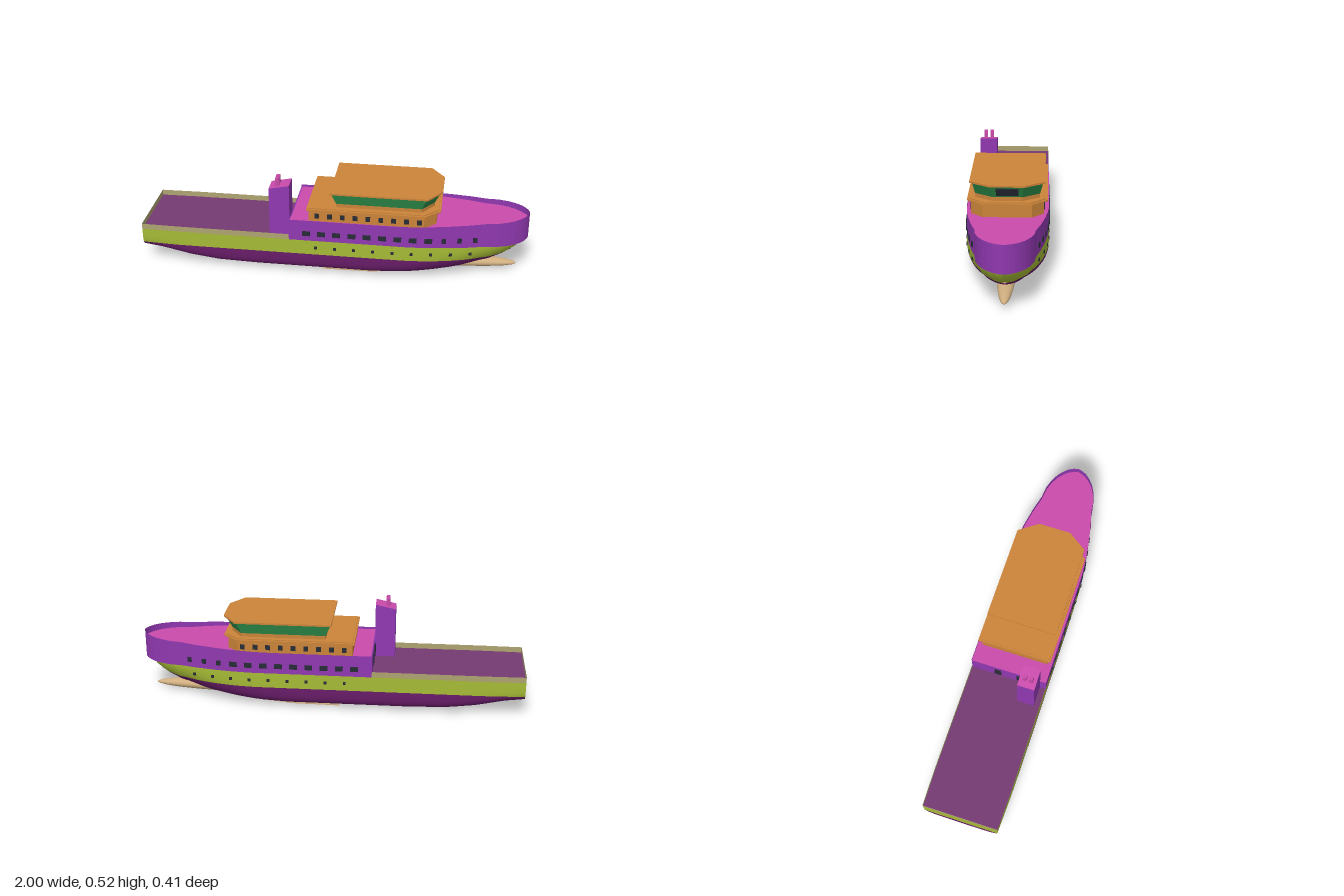
import * as THREE from 'three';

const mat = (name, color, side = THREE.DoubleSide) =>
  Object.assign(new THREE.MeshStandardMaterial({ color, side }), { name });

// piecewise-linear curve through [x, value] points
const curve = (pts) => (x) => {
  let i = 1;
  while (i < pts.length - 1 && x > pts[i][0]) i++;
  const [a, b] = [pts[i - 1], pts[i]];
  const t = Math.min(1, Math.max(0, (x - a[0]) / (b[0] - a[0])));
  return a[1] + (b[1] - a[1]) * t;
};

export function createModel() {
  const ship = new THREE.Group();
  ship.name = 'ship';
  const M = {
    purple: mat('upper hull purple', 0x9038b0),
    plum: mat('lower hull plum', 0x6a1d6a),
    lime: mat('hull lime', 0xa5ba35),
    khaki: mat('bulwark khaki', 0xaea371),
    tan: mat('bulb tan', 0xcfae80),
    pink: mat('deck pink', 0xc94bab),
    mauve: mat('aft deck mauve', 0x753b73),
    orange: mat('house orange', 0xcb843a),
    green: mat('bridge green', 0x2c8b49),
    dark: mat('window dark', 0x272c36),
  };

  const add = (name, geo, m, parent = ship) => {
    const mesh = new THREE.Mesh(geo, m);
    mesh.name = name;
    parent.add(mesh);
    return mesh;
  };

  // surface over an nu x nv grid, wound to face outwards on each side
  const grid = (name, m, nu, nv, side, fn) => {
    const pos = [], idx = [];
    for (let i = 0; i <= nu; i++)
      for (let j = 0; j <= nv; j++) {
        const [x, y, z] = fn(i / nu, j / nv);
        pos.push(x, y, z * side);
      }
    for (let i = 0; i < nu; i++)
      for (let j = 0; j < nv; j++) {
        const a = i * (nv + 1) + j, b = a + nv + 1;
        if (side > 0) idx.push(a, b, b + 1, a, b + 1, a + 1);
        else idx.push(a, b + 1, b, a, a + 1, b + 1);
      }
    const g = new THREE.BufferGeometry();
    g.setAttribute('position', new THREE.Float32BufferAttribute(pos, 3));
    g.setIndex(idx);
    g.computeVertexNormals();
    return add(name, g, m);
  };

  // horizontal slab from a half outline of [x, z], mirrored across the centreline
  const outlineShape = (half) => new THREE.Shape(
    [...half, ...half.slice().reverse().map(([x, z]) => [x, -z])].map(([x, z]) => new THREE.Vector2(x, z)));
  const slabGeo = (half, y0, y1) =>
    new THREE.ExtrudeGeometry(outlineShape(half), { depth: y1 - y0, bevelEnabled: false })
      .rotateX(-Math.PI / 2).translate(0, y0, 0);
  const sheet = (name, half, y, m) =>
    add(name, new THREE.ShapeGeometry(outlineShape(half)).rotateX(-Math.PI / 2).translate(0, y, 0), m);

  // hull lines: keel height, deck half-width and section fullness along the length
  const TOP = 0.2, BAND = 0.12, BREAK = -0.22, BOW = 0.98;
  const keel = curve([[-1, 0.085], [-0.9, 0.074], [-0.75, 0.043], [-0.6, 0.026], [-0.4, 0.02], [0.35, 0.02],
    [0.5, 0.025], [0.65, 0.039], [0.8, 0.07], [0.88, 0.103], [0.94, 0.145], [BOW, TOP]]);
  const beam = curve([[-1, 0.198], [-0.8, 0.202], [0.4, 0.202], [0.5, 0.195], [0.6, 0.18], [0.7, 0.16],
    [0.8, 0.132], [0.88, 0.09], [0.94, 0.048], [BOW, 0]]);
  const fullness = curve([[-1, 5], [-0.6, 7], [0.2, 7], [0.5, 3.6], [0.75, 2], [BOW, 1.5]]);
  const hullZ = (x, y) => {
    const n = fullness(x), d = (TOP - y) / Math.max(1e-4, TOP - keel(x));
    return beam(x) * Math.pow(Math.max(0, 1 - Math.pow(Math.min(1, d), n)), 1 / n);
  };
  const lower = (x, v) => {
    const k = Math.min(keel(x), BAND), y = k + (BAND - k) * v ** 4;
    return [x, y, hullZ(x, y)];
  };
  const upper = (x, v) => {
    const k = Math.max(keel(x), BAND), y = k + (TOP - k) * v ** 1.5;
    return [x, y, hullZ(x, y)];
  };
  const station = (u) => -1 + (BOW + 1) * u;
  for (const s of [1, -1]) {
    grid('lowerHull', M.plum, 100, 20, s, (u, v) => lower(station(u), v));
    grid('upperHull', M.lime, 100, 10, s, (u, v) => upper(station(u), v));
    // stern plate halves
    for (const [f, m] of [[lower, M.plum], [upper, M.lime]])
      grid('transom', m, 1, 16, s, (u, v) => { const p = f(-1, v); return [p[0], p[1], p[2] * u]; });
    grid('aftBulwark', M.khaki, 20, 1, s, (u, v) => {
      const x = -1 + (BREAK + 1) * u;
      return [x, TOP + 0.03 * v, beam(x)];
    });
    grid('sternBulwark', M.khaki, 1, 1, s, (u, v) => [-1, TOP + 0.03 * v, beam(-1) * u]);
  }
  sheet('aftDeck', [[-1, 0.198], [-0.8, 0.202], [BREAK, 0.202]], TOP, M.mauve);

  // flat bottom plate and long bulb
  add('bottomPlate', slabGeo([[-0.05, 0.165], [0.2, 0.16], [0.4, 0.12], [0.5, 0.06]], 0.016, 0.022), M.tan);
  add('bowBulb', new THREE.SphereGeometry(1, 40, 24).rotateZ(-Math.PI / 2)
    .scale(0.5, 0.036, 0.049).translate(0.45, 0.038, 0), M.tan);

  // raised forward hull with a rising rim and rounded bow
  const wallPts = [[BREAK, 0.202], [0.4, 0.202], [0.5, 0.195], [0.6, 0.181], [0.7, 0.162], [0.78, 0.141],
    [0.84, 0.135], [0.89, 0.119], [0.93, 0.098], [0.96, 0.073], [0.98, 0.05], [0.993, 0.025], [1, 0]];
  const wall = curve(wallPts);
  const rim = (x) => 0.315 + 0.025 * Math.pow(Math.max(0, (x - 0.3) / 0.7), 1.2);
  const DECK = 0.303;
  for (const s of [1, -1])
    grid('forwardHullWall', M.purple, 80, 1, s, (u, v) => {
      const x = BREAK + (1 - BREAK) * (1 - (1 - u) ** 2);
      return [x, TOP + (rim(x) - TOP) * v, wall(x)];
    });
  sheet('foredeck', wallPts, DECK, M.pink);
  sheet('forwardHullUnderside', wallPts, TOP + 0.001, M.purple);
  add('forwardHullAftWall', new THREE.BoxGeometry(0.006, DECK - TOP, 0.404)
    .translate(BREAK + 0.003, (DECK + TOP) / 2, 0), M.purple);

  // thin plate lying on a hull side whose half-width is given by f(x)
  const sidePlate = (name, x, y, w, h, f) => {
    const slope = (f(x + 0.02) - f(x - 0.02)) / 0.04;
    for (const s of [1, -1]) {
      const p = add(name, new THREE.BoxGeometry(w, h, 0.008), M.dark);
      p.position.set(x, y, s * f(x));
      p.rotation.y = -s * Math.atan(slope);
    }
  };
  for (let i = 0; i < 12; i++)
    sidePlate('hullWindow', -0.13 + i * 0.0782, 0.241, i < 9 ? 0.04 : 0.022, 0.026, wall);
  for (let i = 0; i < 9; i++)
    sidePlate('porthole', -0.08 + i * 0.0985, 0.16, 0.015, 0.015, (x) => hullZ(x, 0.16));
  for (const z of [-0.06, 0.06])
    add('aftDoor', new THREE.BoxGeometry(0.008, 0.06, 0.036).translate(BREAK, 0.245, z), M.dark);

  // deckhouse and its overhanging roof
  add('deckhouse', slabGeo([[-0.12, 0.176], [0.47, 0.176], [0.53, 0.118]], DECK, 0.372), M.orange);
  add('deckhouseRoof', slabGeo([[-0.13, 0.195], [0.475, 0.195], [0.55, 0.12]], 0.368, 0.376), M.orange);
  add('deckhouseRoofTop', slabGeo([[-0.12, 0.185], [0.47, 0.185], [0.54, 0.115]], 0.376, 0.381), M.orange);
  for (let i = 0; i < 9; i++)
    sidePlate('deckhouseWindow', -0.077 + i * 0.0655, 0.333, 0.024, 0.026, () => 0.176);

  // bridge: straight base, flared glazed band, roof and front window
  const bridgeHalf = [[0.02, 0.157], [0.455, 0.157], [0.515, 0.073]];
  add('bridgeBase', slabGeo(bridgeHalf, 0.38, 0.4), M.orange);
  const flare = slabGeo(bridgeHalf, 0.4, 0.46);
  const fp = flare.attributes.position;
  for (let i = 0; i < fp.count; i++)
    if (fp.getY(i) > 0.43) {
      fp.setX(i, 0.545 + (fp.getX(i) - 0.515) * 1.111);
      fp.setZ(i, fp.getZ(i) * 1.09);
    }
  flare.computeVertexNormals();
  add('bridge', flare, M.green);
  add('bridgeRoof', slabGeo([[-0.01, 0.183], [0.485, 0.183], [0.555, 0.085]], 0.46, 0.469), M.orange);
  const front = add('bridgeFrontWindow', new THREE.BoxGeometry(0.008, 0.044, 0.107), M.dark);
  front.position.set(0.53, 0.43, 0);
  front.rotation.z = -Math.atan(0.5);

  // funnel with sloping top and twin exhausts
  const funnel = new THREE.BoxGeometry(0.105, 0.29, 0.09).translate(-0.2725, 0.345, 0.125);
  const p = funnel.attributes.position;
  for (let i = 0; i < p.count; i++)
    if (p.getY(i) > 0.4 && p.getX(i) < -0.27) p.setY(i, 0.468);
  funnel.computeVertexNormals();
  add('funnel', funnel, [M.purple, M.purple, M.pink, M.purple, M.purple, M.purple]);
  for (const z of [0.109, 0.142])
    add('exhaust', new THREE.BoxGeometry(0.02, 0.06, 0.019).translate(-0.284, 0.49, z), M.pink);

  return ship;
}
